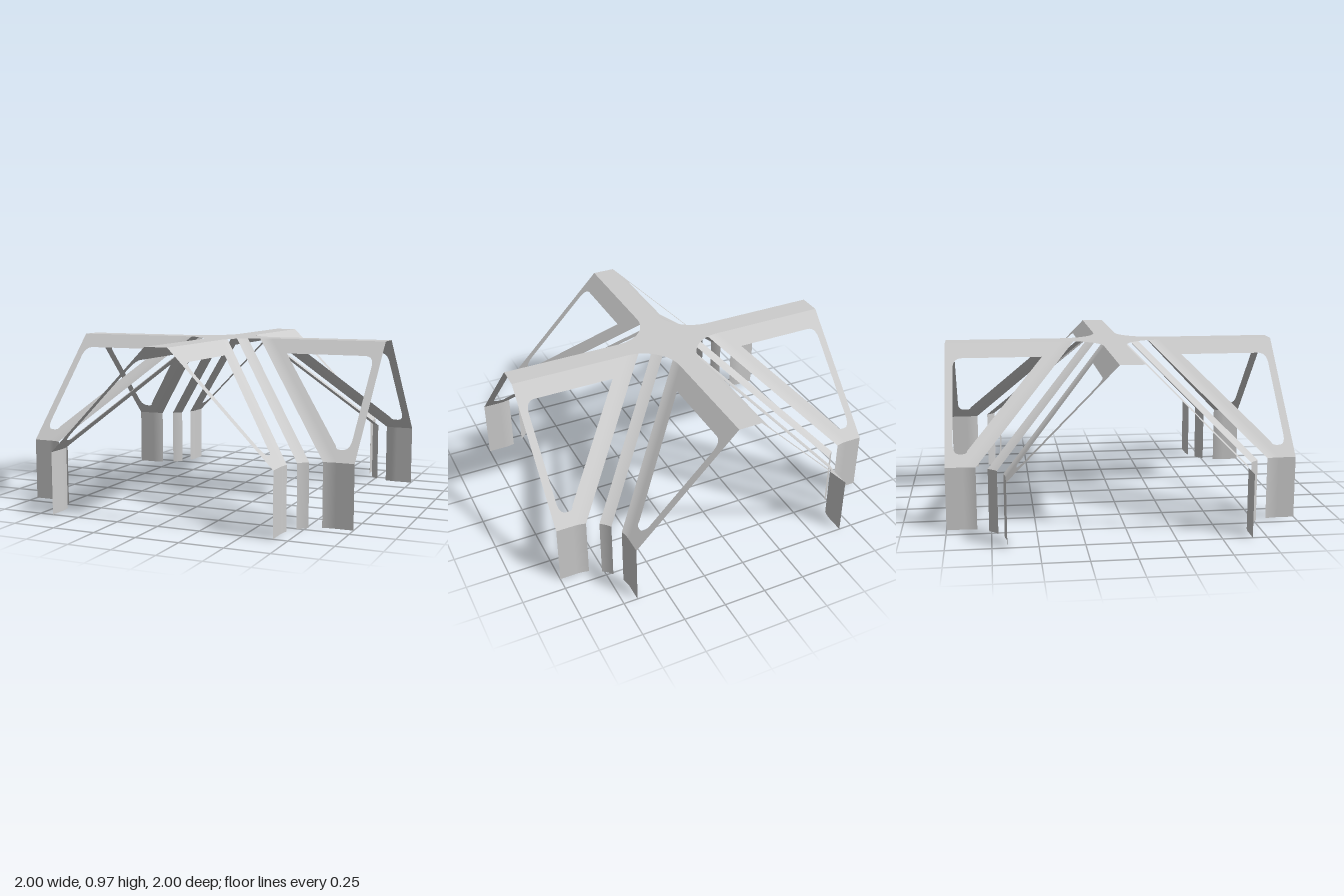
import * as THREE from 'three';

const TOP = 0.97, KNEE = 0.36;    // heights of the roof plate and of the leg tops
const HALF = 0.068, C = 0.3;      // half width of an arm, centre of the corner arc
const R = C - HALF, RUN = 0.6;    // corner radius, horizontal run of the slopes
const RAD = Math.PI / 180;

export function createModel() {
  const metal = new THREE.MeshStandardMaterial({ color: 0xcccccc, side: THREE.DoubleSide });
  metal.name = 'light grey sheet';
  const model = new THREE.Group();
  model.name = 'canopy';

  const add = (parent, name, geometry) => {
    const mesh = new THREE.Mesh(geometry, metal);
    mesh.name = name;
    parent.add(mesh);
  };

  // Points [x, z] on the roof's rounded inner corner
  const arc = (a0, a1, n) => Array.from({ length: n + 1 }, (_, i) => {
    const a = (a0 + (a1 - a0) * i / n) * RAD;
    return [C - R * Math.sin(a), C - R * Math.cos(a)];
  });

  // Ruled sheet between two matching rows of points
  const sheet = (upper, lower, flip) => {
    const pos = [], idx = [];
    upper.forEach((p, i) => {
      pos.push(...p, ...lower[i]);
      if (i === 0) return;
      const a = 2 * i - 2, b = a + 1, c = a + 2, d = a + 3;
      idx.push(...(flip ? [a, c, b, b, c, d] : [a, b, c, c, b, d]));
    });
    const g = new THREE.BufferGeometry();
    g.setAttribute('position', new THREE.Float32BufferAttribute(pos, 3));
    g.setIndex(idx);
    g.computeVertexNormals();
    return g;
  };
  const slope = (pts, flip) => sheet(
    pts.map(([x, z]) => [x, TOP, z]),
    pts.map(([x, z]) => [x + RUN, KNEE, z + RUN]), flip);
  const leg = (pts, flip) => sheet(
    pts.map(([x, z]) => [x + RUN, KNEE, z + RUN]),
    pts.map(([x, z]) => [x + RUN, 0, z + RUN]), flip);

  // Cross-shaped roof plate with rounded inner corners
  const outline = [];
  for (let k = 0; k < 4; k++) {
    const pts = [[1, HALF], ...arc(0, 90, 20), [HALF, 1]];
    for (const [x, z] of pts) {
      outline.push(new THREE.Vector2(x, z).rotateAround(new THREE.Vector2(), k * Math.PI / 2));
    }
  }
  const roof = new THREE.ShapeGeometry(new THREE.Shape(outline));
  roof.rotateX(-Math.PI / 2).translate(0, TOP, 0);
  add(model, 'roofPlate', roof);

  // Sloping panel with a rounded triangular window, drawn as (x, run)
  const panel = (swap) => {
    const s = new THREE.Shape();
    s.moveTo(C, 0).lineTo(1, 0).lineTo(1, RUN).lineTo(C + RUN, RUN).closePath();
    const h = new THREE.Path();
    h.moveTo(0.425, 0.079).lineTo(0.9, 0.079);
    h.quadraticCurveTo(0.955, 0.079, 0.955, 0.134);
    h.lineTo(0.955, 0.49);
    h.quadraticCurveTo(0.955, 0.541, 0.915, 0.541);
    h.lineTo(0.905, 0.541);
    h.quadraticCurveTo(0.875, 0.541, 0.873, 0.525);
    h.closePath();
    s.holes.push(h);
    const g = new THREE.ShapeGeometry(s, 10);
    const p = g.attributes.position;
    for (let i = 0; i < p.count; i++) {
      const x = p.getX(i), t = p.getY(i);
      const y = TOP - t * (TOP - KNEE) / RUN, z = HALF + t;
      if (swap) p.setXYZ(i, z, y, x);
      else p.setXYZ(i, x, y, z);
    }
    if (!swap) {
      const index = g.index.array;
      for (let i = 0; i < index.length; i += 3) {
        [index[i], index[i + 1]] = [index[i + 1], index[i]];
      }
    }
    g.computeVertexNormals();
    return g;
  };

  // One corner between two arms, repeated four times
  for (let k = 0; k < 4; k++) {
    const corner = new THREE.Group();
    corner.name = 'corner' + (k + 1);
    corner.rotation.y = k * Math.PI / 2;
    model.add(corner);

    // Two mirrored window panels with their curved borders and legs
    for (const swap of [false, true]) {
      const turn = (pts) => pts.map(([x, z]) => (swap ? [z, x] : [x, z]));
      const border = arc(17.8, 0, 8);
      add(corner, 'windowPanel', panel(swap));
      add(corner, 'panelBorder', slope(turn(border), swap));
      add(corner, 'panelLeg', leg(turn([...border, [1 - RUN, HALF]]), swap));
    }

    // Narrow diagonal strip and its leg
    const middle = arc(53.8, 36.2, 6);
    add(corner, 'diagonalStrip', slope(middle, false));
    add(corner, 'stripLeg', leg(middle, false));
  }
  return model;
}
